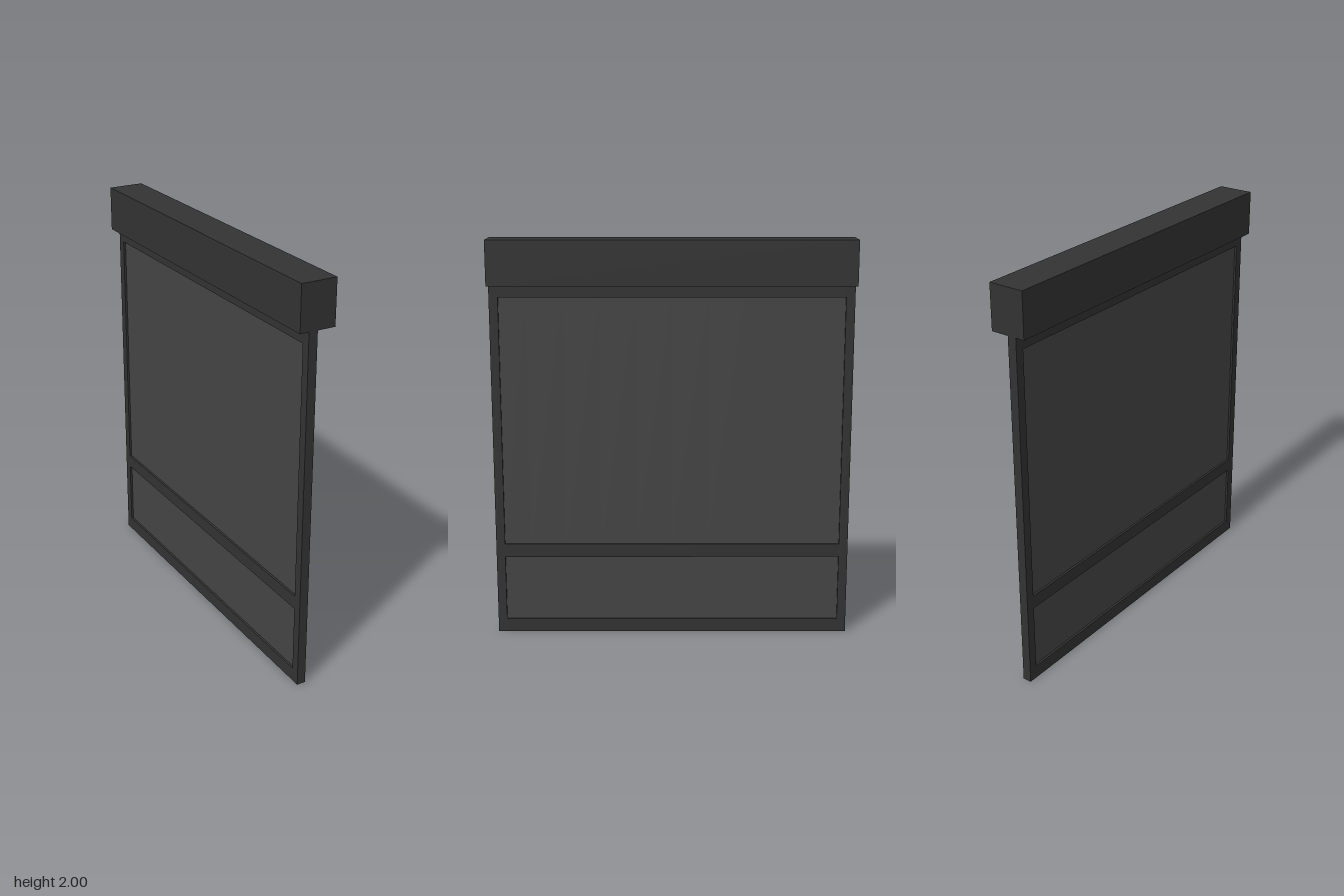
import * as THREE from 'three';

const HALF = 0.889;        // half width along z
const STILE = 0.044;       // stile width
const DEPTH = 0.044;       // frame thickness
const PANEL = 0.022;       // infill thickness
const MID_X = -0.022;      // centre plane of the frame
const HEAD_Y = 1.78;       // underside of the head box

const frameMat = new THREE.MeshStandardMaterial({ color: 0x333333 });
const panelMat = new THREE.MeshStandardMaterial({ color: 0x454545 });

// Box given by its thickness in x and its ranges in y and z
function slab(name, mat, x, thick, y0, y1, z0, z1) {
  const mesh = new THREE.Mesh(new THREE.BoxGeometry(thick, y1 - y0, z1 - z0), mat);
  mesh.name = name;
  mesh.position.set(x, (y0 + y1) / 2, (z0 + z1) / 2);
  return mesh;
}

export function createModel() {
  const model = new THREE.Group();
  model.name = 'slidingPanel';
  const inner = HALF - STILE;

  // Head box
  model.add(slab('headBox', frameMat, 0, 0.178, HEAD_Y, 2, -HALF, HALF));

  // Frame: two stiles and three rails
  const frame = new THREE.Group();
  frame.name = 'frame';
  for (const s of [-1, 1]) {
    const z = s * (HALF - STILE / 2);
    frame.add(slab(s > 0 ? 'frontStile' : 'backStile', frameMat, MID_X, DEPTH,
      0, HEAD_Y, z - STILE / 2, z + STILE / 2));
  }
  const rails = [['bottomRail', 0, 0.067], ['middleRail', 0.4, 0.467], ['topRail', 1.716, HEAD_Y]];
  for (const [name, y0, y1] of rails) {
    frame.add(slab(name, frameMat, MID_X, DEPTH, y0, y1, -inner, inner));
  }
  model.add(frame);

  // Recessed lower panel
  model.add(slab('lowerPanel', panelMat, MID_X, PANEL, 0.067, 0.4, -inner, inner));

  // Recessed upright planks, the outer two cut narrower by the stiles
  const planks = new THREE.Group();
  planks.name = 'planks';
  const count = 10, pitch = 2 * HALF / count;
  for (let i = 0; i < count; i++) {
    const z0 = Math.max(-HALF + i * pitch, -inner);
    const z1 = Math.min(-HALF + (i + 1) * pitch, inner);
    planks.add(slab('plank', panelMat, MID_X, PANEL, 0.467, 1.716, z0, z1));
  }
  model.add(planks);

  return model;
}
